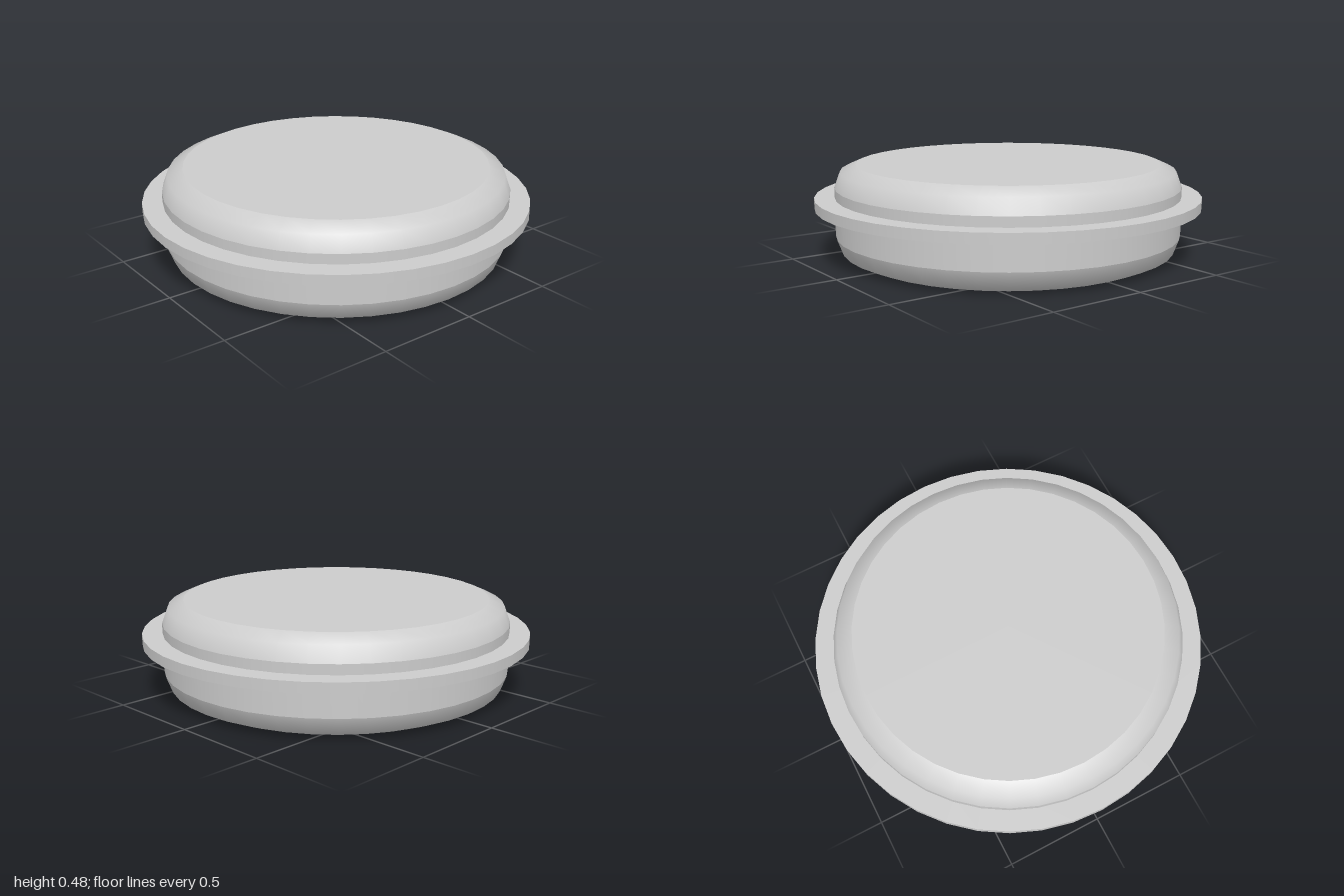
import * as THREE from 'three';

const SIDES = 40;
const grey = new THREE.MeshStandardMaterial({ color: 0xcccccc });
grey.name = 'grey';

// Turns one profile strip of [radius, y] points, given so it faces outward
function turn(name, points) {
  const profile = points.map(([r, y]) => new THREE.Vector2(r, y));
  const mesh = new THREE.Mesh(new THREE.LatheGeometry(profile, SIDES), grey);
  mesh.name = name;
  return mesh;
}

export function createModel() {
  const model = new THREE.Group();
  model.name = 'flangedDisc';
  const H = 0.48;

  // Puck body: separate strips keep the rims of the rounded edges crisp
  const body = new THREE.Group();
  body.name = 'body';
  const bevel = [[0.787, 0], [0.867, 0.035], [0.897, 0.115]];
  body.add(
    turn('bottomFace', [[0, 0], [0.787, 0]]),
    turn('bottomRoundedEdge', bevel),
    turn('sideWall', [[0.897, 0.115], [0.897, H - 0.115]]),
    turn('topRoundedEdge', bevel.map(([r, y]) => [r, H - y]).reverse()),
    turn('topFace', [[0.787, H], [0, H]])
  );

  // Thin ring around the middle of the body
  const flange = new THREE.Group();
  flange.name = 'flange';
  const low = 0.262, high = 0.315;
  flange.add(
    turn('flangeUnderside', [[0.88, low], [1, low]]),
    turn('flangeRim', [[1, low], [1, high]]),
    turn('flangeTop', [[1, high], [0.88, high]])
  );

  model.add(body, flange);
  return model;
}
